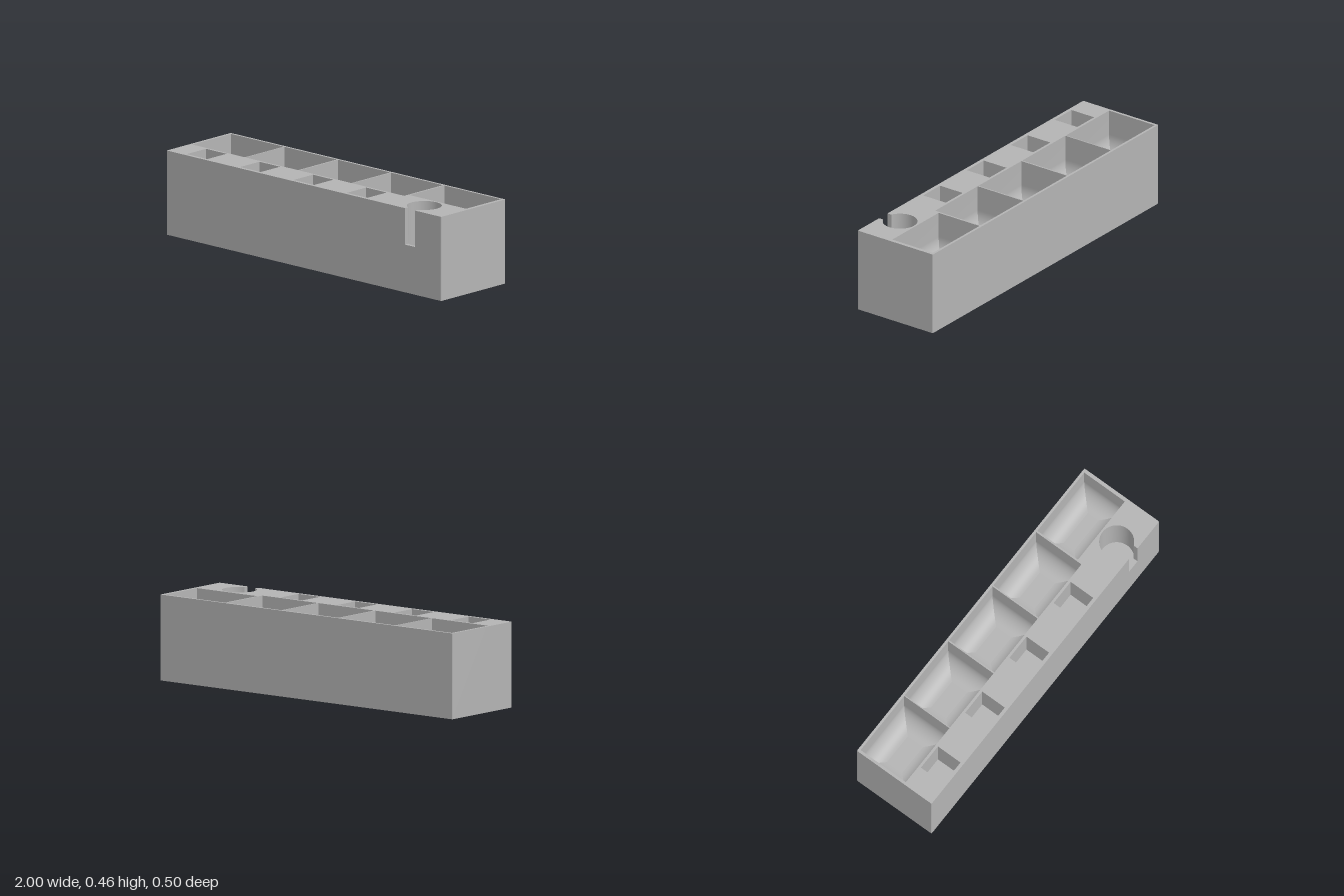
import * as THREE from 'three';

const W = 1, D = 0.2485, TOP = 0.462, R = 0.005;       // half width, half depth, height, edge radius
const HOLE = { x: 0.773, z: 0.138, r: 0.093, floor: 0.2 };
const SLOT = { half: 0.037, floor: 0.262 };
const grey = new THREE.MeshStandardMaterial({ color: 0xb4b4b4, side: THREE.DoubleSide });
grey.name = 'grey';

// Smooth sheet through rows of points, rows running top to bottom
function sheet(rows) {
  const n = rows[0].length, index = [];
  for (let i = 0; i < rows.length - 1; i++) {
    for (let j = 0; j < n - 1; j++) {
      const a = i * n + j, b = a + n;
      index.push(a, b, a + 1, a + 1, b, b + 1);
    }
  }
  const g = new THREE.BufferGeometry();
  g.setAttribute('position', new THREE.Float32BufferAttribute(rows.flat(2), 3));
  g.setIndex(index);
  g.computeVertexNormals();
  return g;
}

// Upright wall along a path of [x, z] points
const wall = (path, y0, y1) => sheet([y1, y0].map(y => path.map(([x, z]) => [x, y, z])));

// Level face facing up, from [x, z] points
function level(points, y, holes = []) {
  const v = pts => pts.map(([x, z]) => new THREE.Vector2(x, -z));
  const shape = new THREE.Shape(v(points));
  shape.holes = holes.map(h => new THREE.Path(v(h)));
  return new THREE.ShapeGeometry(shape).rotateX(-Math.PI / 2).translate(0, y, 0);
}

function arc(cx, cz, r, from, to, steps) {
  return Array.from({ length: steps + 1 }, (_, i) => {
    const t = from + (to - from) * i / steps;
    return [cx + r * Math.cos(t), cz + r * Math.sin(t)];
  });
}

const rect = ([x0, z0, x1, z1], d = 0) =>
  [[x0 + d, z0 + d], [x1 - d, z0 + d], [x1 - d, z1 - d], [x0 + d, z1 - d]];

export function createModel() {
  const model = new THREE.Group();
  model.name = 'organizerBlock';
  const add = (name, geometry, parent = model) => {
    const mesh = new THREE.Mesh(geometry, grey);
    mesh.name = name;
    parent.add(mesh);
  };
  const group = name => {
    const g = new THREE.Group();
    g.name = name;
    model.add(g);
    return g;
  };

  // Large trays and small square pockets as [x0, z0, x1, z1]
  const trays = [
    [-0.985, -0.235, -0.602, 0.066], [-0.597, -0.235, -0.215, 0.066],
    [-0.207, -0.235, 0.174, 0.066], [0.181, -0.235, 0.558, 0.066],
    [0.568, -0.235, 0.98, 0.035],
  ];
  const pockets = [-0.796, -0.407, -0.018, 0.37].map(x => [x - 0.075, 0.08, x + 0.075, 0.23]);

  // Outer skin: sides and back with softened upright edges
  const q = Math.PI / 2;
  const skin = [
    ...arc(W - R, D - R, R, q, 0, 4), ...arc(W - R, -D + R, R, 0, -q, 4),
    ...arc(-W + R, -D + R, R, -q, -2 * q, 4), ...arc(-W + R, D - R, R, 2 * q, q, 4),
  ];
  add('sidesAndBack', wall(skin, 0, TOP));
  add('base', level(skin, 0).rotateX(Math.PI));

  // Front face with the cable slot cut out
  const sx0 = HOLE.x - SLOT.half, sx1 = HOLE.x + SLOT.half;
  const front = new THREE.Shape([
    [-W + R, 0], [W - R, 0], [W - R, TOP], [sx1, TOP], [sx1, SLOT.floor],
    [sx0, SLOT.floor], [sx0, TOP], [-W + R, TOP],
  ].map(p => new THREE.Vector2(...p)));
  add('front', new THREE.ShapeGeometry(front).translate(0, 0, D));

  // Top face, open for every recess
  const a = Math.asin(SLOT.half / HOLE.r);
  const openArc = arc(HOLE.x, HOLE.z, HOLE.r, q + a, 5 * q - a, 56);
  const slotArc = arc(HOLE.x, HOLE.z, HOLE.r, q - a, q + a, 8);
  add('top', level([...skin, [sx0, D], ...openArc, [sx1, D]], TOP,
    [...trays, ...pockets].map(t => rect(t))));

  // Trays: straight walls, a rounded foot with mitred corners, flat floor
  const foot = 0.1, floor = 0.222, steps = 12;
  trays.forEach((t, k) => {
    const tray = group('tray' + (k + 1));
    const rings = [{ d: 0, y: TOP }];
    for (let i = 0; i <= steps; i++) {
      const u = q * i / steps;
      rings.push({ d: foot * (1 - Math.cos(u)), y: floor + foot * (1 - Math.sin(u)) });
    }
    for (let s = 0; s < 4; s++) {
      add('trayWall', sheet(rings.map(({ d, y }) => {
        const c = rect(t, d);
        return [c[s], c[(s + 1) % 4]].map(([x, z]) => [x, y, z]);
      })), tray);
    }
    add('trayFloor', level(rect(t, foot), floor), tray);
  });

  // Square pockets
  pockets.forEach((p, k) => {
    const pocket = group('pocket' + (k + 1));
    const c = rect(p);
    c.forEach((pt, s) => add('pocketWall', wall([pt, c[(s + 1) % 4]], SLOT.floor, TOP), pocket));
    add('pocketFloor', level(c, SLOT.floor), pocket);
  });

  // Round holder
  const holder = group('roundHolder');
  add('holderWall', wall(openArc, HOLE.floor, TOP), holder);
  add('holderSill', wall(slotArc, HOLE.floor, SLOT.floor), holder);
  add('holderFloor', level([...openArc, ...slotArc.slice(1, -1)], HOLE.floor), holder);

  // Cable slot from the holder to the front
  const slot = group('cableSlot');
  const zArc = slotArc[0][1];
  add('slotFloor', level([...slotArc, [sx0, D], [sx1, D]], SLOT.floor), slot);
  add('slotWallLeft', wall([[sx1, zArc], [sx1, D]], SLOT.floor, TOP), slot);
  add('slotWallRight', wall([[sx0, D], [sx0, zArc]], SLOT.floor, TOP), slot);

  return model;
}
